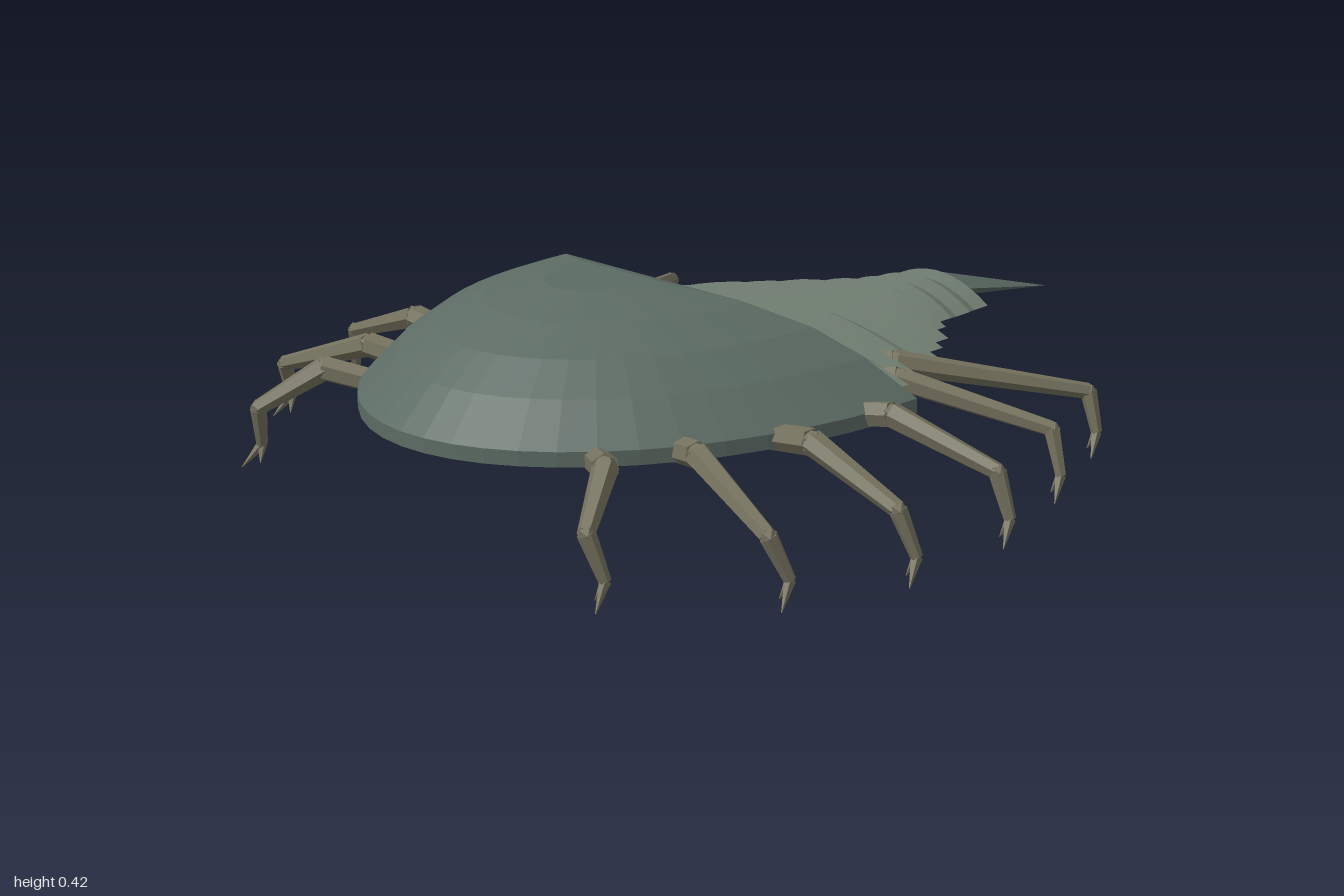
import * as THREE from 'three';

const material = (color) => new THREE.MeshStandardMaterial({ color, flatShading: true });
const shellMat = material(0x5c6b64);
const plateMat = material(0x6a776b);
const legMat = material(0x74715d);
const V = (x, y, z) => new THREE.Vector3(x, y, z);

function part(name, geometry, mat) {
  const mesh = new THREE.Mesh(geometry, mat);
  mesh.name = name;
  return mesh;
}

// Skin over closed loops of equal length, with a fan cap at each end
function loft(loops) {
  const pos = [];
  const tri = (...pts) => pts.forEach((p) => pos.push(p.x, p.y, p.z));
  const n = loops[0].length;
  const centre = (loop) => loop.reduce((s, p) => s.add(p), V(0, 0, 0)).divideScalar(n);
  const first = loops[0], last = loops[loops.length - 1];
  const c0 = centre(first), c1 = centre(last);
  for (let i = 0; i < n; i++) {
    const j = (i + 1) % n;
    tri(c0, first[i], first[j]);
    tri(c1, last[j], last[i]);
    for (let k = 0; k + 1 < loops.length; k++) {
      const a = loops[k], b = loops[k + 1];
      tri(a[i], b[i], a[j]);
      tri(a[j], b[i], b[j]);
    }
  }
  const g = new THREE.BufferGeometry();
  g.setAttribute('position', new THREE.Float32BufferAttribute(pos, 3));
  g.computeVertexNormals();
  return g;
}

// Domed shield: half-ellipse outline shrinking towards the crown
function shield() {
  const steps = [[1, 0.185], [1, 0.215], [0.84, 0.292], [0.68, 0.347], [0.47, 0.39], [0.21, 0.42]];
  const crown = 0.48, n = 28;
  return loft(steps.map(([s, y]) => Array.from({ length: n + 1 }, (_, i) => {
    const a = (Math.PI * i) / n;
    const z = 0.14 + 0.835 * Math.sin(a);
    return V(0.57 * Math.cos(a) * s, y, crown + (z - crown) * s);
  })));
}

// Arched back plate with flared front and rear edges
function backPlate(w, top, drop, z) {
  const loops = [], d = 0.034, thick = 0.025, waist = 0.012, n = 12;
  for (let i = 0; i <= n; i++) {
    const t = -1 + (2 * i) / n;
    const section = [[d, 0], [0, waist], [-d, 0], [-d, thick], [0, thick + waist], [d, thick]];
    loops.push(section.map(([dz, inset]) =>
      V((w - inset) * t, top - drop * t * t - inset * (1 - 0.5 * t * t), z + dz)));
  }
  return loft(loops);
}

// Tapered rod between two points
function limb(name, a, b, r0, r1, sides = 6) {
  const dir = b.clone().sub(a);
  const mesh = part(name, new THREE.CylinderGeometry(r1, r0, dir.length(), sides), legMat);
  mesh.position.copy(a).addScaledVector(dir, 0.5);
  mesh.quaternion.setFromUnitVectors(V(0, 1, 0), dir.normalize());
  return mesh;
}

// Jointed leg ending in a pair of claws
function leg(points, name) {
  const g = new THREE.Group();
  g.name = name;
  const [hip, knee, ankle, foot] = points.map((p) => V(...p));
  g.add(limb('thigh', hip, knee, 0.024, 0.027));
  g.add(limb('shin', knee, ankle, 0.026, 0.017));
  g.add(limb('foot', ankle, foot, 0.018, 0.012));
  g.add(limb('outerClaw', foot, foot.clone().add(V(0.018, -0.045, 0.04)), 0.011, 0.001, 4));
  g.add(limb('innerClaw', foot, foot.clone().add(V(-0.012, -0.035, 0.015)), 0.011, 0.001, 4));
  for (const [p, r] of [[knee, 0.026], [ankle, 0.018]]) {
    const joint = part('joint', new THREE.IcosahedronGeometry(r, 0), legMat);
    joint.position.copy(p);
    g.add(joint);
  }
  return g;
}

export function createModel() {
  const model = new THREE.Group();
  model.name = 'armouredCrawler';
  model.add(part('shield', shield(), shellMat));

  // Ten back plates narrowing to the tail
  const widths = [0.51, 0.475, 0.405, 0.395, 0.343, 0.295, 0.224, 0.177, 0.168, 0.158];
  widths.forEach((w, i) => {
    const top = 0.23 + 0.065 * Math.pow(1 - i / 9, 1.2);
    model.add(part('backPlate', backPlate(w, top, 0.055 + 0.02 * (1 - i / 9), 0.13 - 0.0755 * i), plateMat));
  });

  // Three-sided tail spike
  const base = V(0, 0.192, -0.575), tip = V(0, 0.11, -1);
  const spike = limb('tailSpike', base, tip, 0.04, 0.0005, 3);
  spike.material = shellMat;
  spike.geometry.rotateY(Math.PI / 2);
  model.add(spike);

  // Hip, knee, ankle and foot of the left legs, front to back
  const legs = [
    [[0.08, 0.135, 0.62], [0.43, 0.215, 0.84], [0.505, 0.14, 0.955], [0.53, 0.05, 0.935]],
    [[0.08, 0.135, 0.53], [0.5, 0.215, 0.675], [0.735, 0.135, 0.73], [0.76, 0.05, 0.7]],
    [[0.08, 0.135, 0.44], [0.6, 0.215, 0.475], [0.82, 0.14, 0.48], [0.85, 0.05, 0.46]],
    [[0.08, 0.135, 0.35], [0.6, 0.215, 0.25], [0.82, 0.14, 0.195], [0.85, 0.05, 0.19]],
    [[0.08, 0.135, 0.25], [0.46, 0.215, 0.07], [0.74, 0.14, -0.075], [0.77, 0.05, -0.07]],
    [[0.08, 0.135, 0.17], [0.38, 0.215, -0.01], [0.635, 0.135, -0.335], [0.66, 0.05, -0.335]],
  ];

  for (const side of [1, -1]) {
    const half = new THREE.Group();
    half.name = side > 0 ? 'leftSide' : 'rightSide';
    half.scale.x = side;
    legs.forEach((points) => half.add(leg(points, 'leg')));
    // Overlapping gill flaps under the back plates
    for (let i = 0; i < 5; i++) {
      const w = 0.37 - 0.04 * i;
      const flap = part('gillFlap', new THREE.BoxGeometry(w, 0.012, 0.085), legMat);
      flap.position.set(0.02 + w / 2, 0.145, 0.115 - 0.068 * i);
      flap.rotation.x = -0.33;
      half.add(flap);
    }
    model.add(half);
  }
  return model;
}
